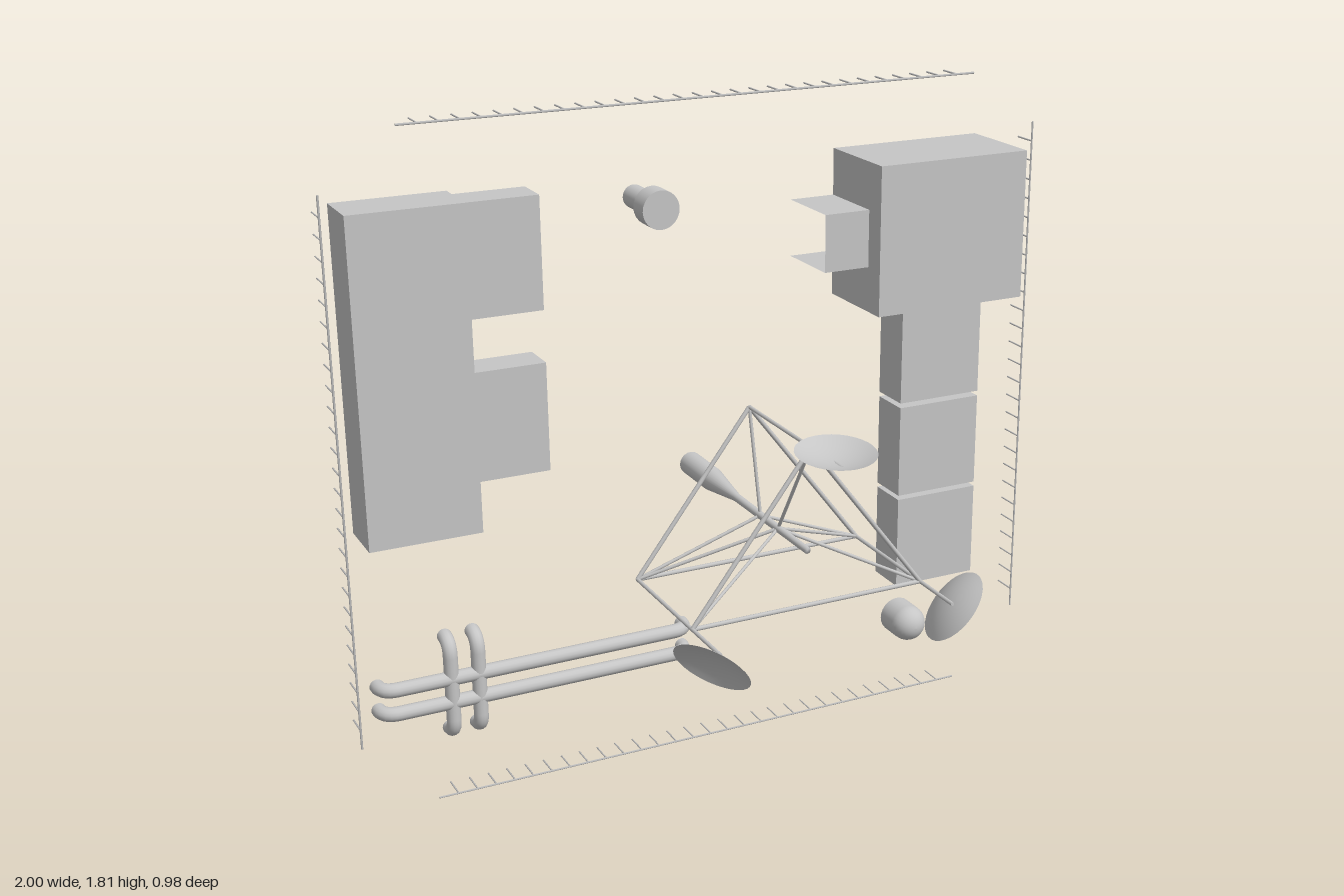
import * as THREE from 'three';
import { mergeGeometries } from 'three/addons/utils/BufferGeometryUtils.js';

const grey = new THREE.MeshStandardMaterial({ color: 0xc6c6c6, side: THREE.DoubleSide });
grey.name = 'plain grey';

const V = (x, y, z) => new THREE.Vector3(x, y, z);
const BACK = -0.49;

function add(parent, name, geometry) {
  const mesh = new THREE.Mesh(geometry, grey);
  mesh.name = name;
  parent.add(mesh);
  return mesh;
}

// Straight round bar between two points
function bar(a, b, r, sides = 8) {
  const d = b.clone().sub(a);
  const g = new THREE.CylinderGeometry(r, r, d.length(), sides);
  g.applyQuaternion(new THREE.Quaternion().setFromUnitVectors(V(0, 1, 0), d.normalize()));
  return g.translate((a.x + b.x) / 2, (a.y + b.y) / 2, (a.z + b.z) / 2);
}

// Thin-walled box without its back; faces run +x, -x, +y, -y, +z
function openBox(x0, x1, y0, y1, zFront, faces = [0, 1, 2, 3, 4]) {
  const g = new THREE.BoxGeometry(x1 - x0, y1 - y0, zFront - BACK);
  const index = Array.from(g.index.array);
  g.clearGroups();
  g.setIndex(faces.flatMap((f) => index.slice(f * 6, f * 6 + 6)));
  return g.translate((x0 + x1) / 2, (y0 + y1) / 2, (zFront + BACK) / 2);
}

// Turned part whose axis runs along z; points are [radius, z]
function turned(points, x, y) {
  const g = new THREE.LatheGeometry(points.map(([r, z]) => new THREE.Vector2(r, z)), 24);
  return g.rotateX(Math.PI / 2).translate(x, y, 0);
}

// Pipe running between two points, both ends curving into the back plane
function bentPipe(a, b, r) {
  const dir = b.clone().sub(a).normalize().multiplyScalar(0.045);
  const path = new THREE.CurvePath();
  const a0 = V(a.x, a.y, BACK), b0 = V(b.x, b.y, BACK);
  const a1 = a.clone().add(dir), b1 = b.clone().sub(dir);
  path.add(new THREE.QuadraticBezierCurve3(a0, a, a1));
  path.add(new THREE.LineCurve3(a1, b1));
  path.add(new THREE.QuadraticBezierCurve3(b1, b, b0));
  return new THREE.TubeGeometry(path, 90, r, 14);
}

// Rail with a comb of short teeth pointing backwards, none at its ends
function combRail(a, b, count) {
  const parts = [bar(a, b, 0.003, 4)];
  for (let i = 1; i < count; i++) {
    const p = a.clone().lerp(b, i / count);
    parts.push(bar(p, V(p.x, p.y, -0.417), 0.0025, 4));
  }
  return mergeGeometries(parts);
}

// Shallow bowl opening along a direction
function dish(center, normal) {
  const profile = [];
  for (let i = 0; i <= 8; i++) {
    const r = (i / 8) * 0.1;
    profile.push(new THREE.Vector2(r, 2.4 * r * r - 0.014));
  }
  const g = new THREE.LatheGeometry(profile, 32);
  g.applyQuaternion(new THREE.Quaternion().setFromUnitVectors(V(0, 1, 0), normal.normalize()));
  return g.translate(center.x, center.y, center.z);
}

export function createModel() {
  const model = new THREE.Group();
  model.name = 'wallPanelKit';

  // Border rails
  const rails = new THREE.Group();
  rails.name = 'borderRails';
  model.add(rails);
  add(rails, 'topRail', combRail(V(-0.8, 1.805, -0.35), V(0.8, 1.805, -0.35), 30));
  add(rails, 'bottomRail', combRail(V(-0.8, 0.003, -0.35), V(0.8, 0.003, -0.35), 30));
  for (const s of [-1, 1]) {
    add(rails, s > 0 ? 'leftRail' : 'rightRail',
      combRail(V(s * 0.997, 0.197, -0.35), V(s * 0.997, 1.657, -0.35), 27));
  }

  // Open-backed boxes
  const boxes = new THREE.Group();
  boxes.name = 'wallBoxes';
  model.add(boxes);
  add(boxes, 'tallBox', openBox(-0.94, -0.64, 0.741, 1.603, -0.345));
  add(boxes, 'upperSideBox', openBox(-0.637, -0.435, 1.296, 1.593, -0.387));
  add(boxes, 'lowerSideBox', openBox(-0.637, -0.435, 0.863, 1.157, -0.387));
  add(boxes, 'largeBox', openBox(0.451, 0.9, 1.201, 1.608, -0.228));
  add(boxes, 'smallSleeve', openBox(0.32, 0.451, 1.324, 1.48, -0.29, [2, 3, 4]));
  for (const [y0, y1] of [[0.89, 1.157], [0.611, 0.876], [0.329, 0.598]]) {
    add(boxes, 'stackedBox', openBox(0.61, 0.864, y0, y1, -0.37));
  }

  // Pipes crossing near the lower corner
  const pipes = new THREE.Group();
  pipes.name = 'pipes';
  model.add(pipes);
  for (const y of [0.296, 0.226]) {
    add(pipes, 'horizontalPipe', bentPipe(V(-0.91, y, -0.445), V(-0.025, y, -0.445), 0.02));
  }
  for (const x of [-0.718, -0.641]) {
    add(pipes, 'verticalPipe', bentPipe(V(x, 0.131, -0.445), V(x, 0.404, -0.445), 0.02));
  }

  // Domed knob
  const dome = [[0.053, BACK]];
  for (let i = 0; i <= 10; i++) {
    const t = (i / 10) * Math.PI / 2;
    dome.push([0.053 * Math.cos(t), -0.425 + 0.053 * Math.sin(t)]);
  }
  add(model, 'domedKnob', turned(dome, 0.684, 0.174));

  // Stepped nozzle: stem, collar and flat cap
  const nozzle = new THREE.Group();
  nozzle.name = 'nozzle';
  model.add(nozzle);
  add(nozzle, 'nozzleStem', turned([[0.031, BACK], [0.031, -0.37]], -0.138, 1.537));
  const head = new THREE.CylinderGeometry(0.051, 0.051, 0.06, 24);
  add(nozzle, 'nozzleHead', head.rotateX(Math.PI / 2).translate(-0.138, 1.537, -0.344));

  // Boom flaring towards the wall
  add(model, 'boom', turned([[0.032, BACK], [0.032, -0.35], [0.011, -0.2],
    [0.009, 0.2], [0, 0.2]], 0.013, 0.773));

  // Triangular truss around the boom
  const truss = new THREE.Group();
  truss.name = 'truss';
  model.add(truss);
  const corners = [[0.003, 1.057], [-0.317, 0.641], [0.321, 0.641]];
  const zF = 0.232, zB = -0.102, R = 0.006;
  const frontNode = V(0.013, 0.773, 0.04), backNode = V(0.013, 0.773, -0.06);
  corners.forEach(([x, y], i) => {
    const [nx, ny] = corners[(i + 1) % 3];
    const f = V(x, y, zF), b = V(x, y, zB);
    for (const z of [zF, zB]) add(truss, 'triangleBar', bar(V(x, y, z), V(nx, ny, z), R));
    add(truss, 'longBar', bar(f, b, 0.005));
    add(truss, 'frontStrut', bar(f, frontNode, 0.0045));
    add(truss, 'backStrut', bar(b, backNode, 0.0045));
    if (i > 0) add(truss, 'diagonalStrut', bar(b, frontNode, 0.0045));
  });

  // Dishes on arms ahead of the truss corners
  const dishes = [
    [V(0.004, 1.075, 0.355), V(0, 1, 0.1)],
    [V(-0.338, 0.626, 0.396), V(-0.67, -0.6, 0.45)],
    [V(0.338, 0.623, 0.355), V(0.74, -0.65, 0.15)],
  ];
  dishes.forEach(([center, normal], i) => {
    const [x, y] = corners[i];
    add(truss, 'dishArm', bar(V(x, y, zF), V(x, y, 0.39), 0.005));
    add(truss, 'dish', dish(center, normal));
  });

  return model;
}
